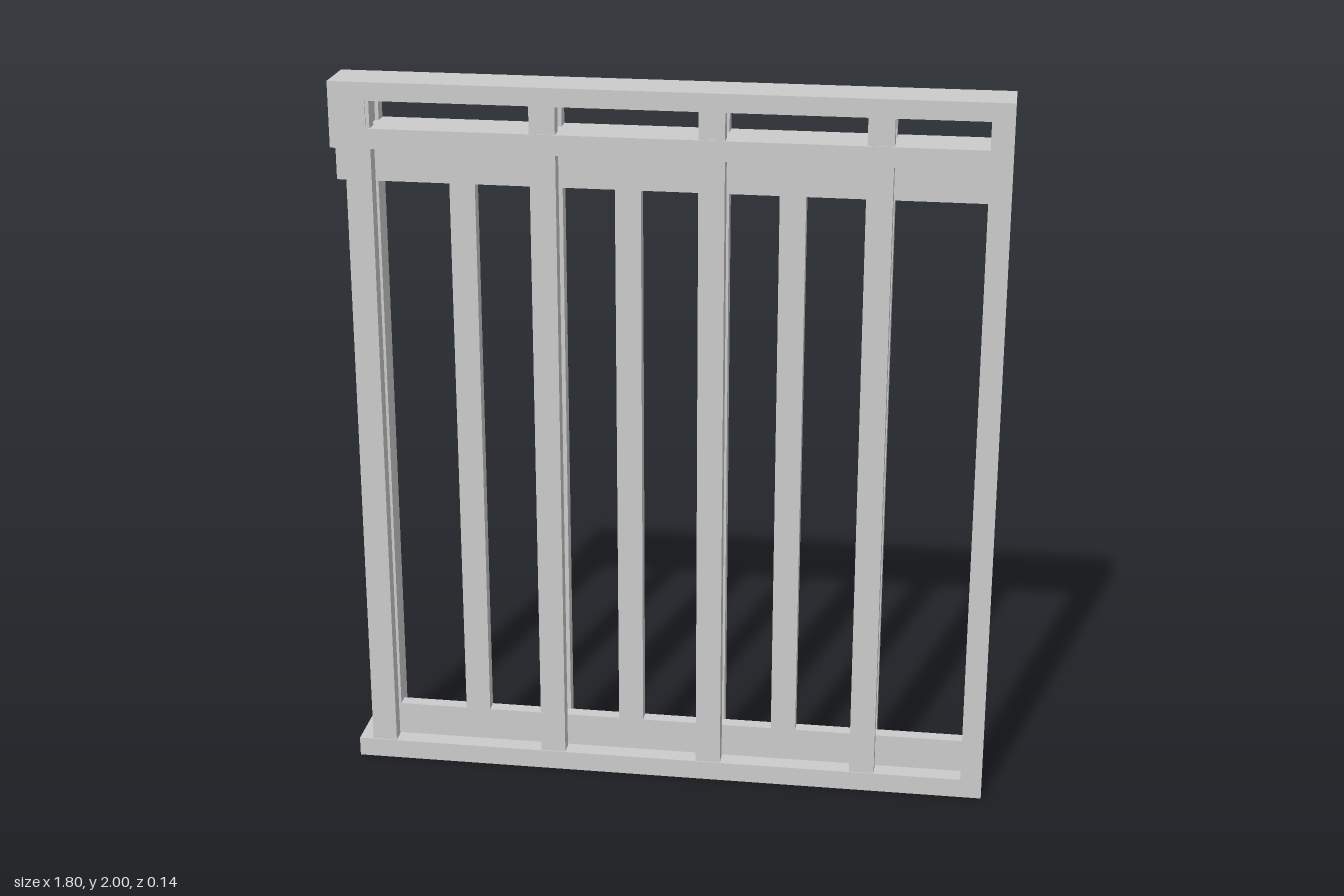
import * as THREE from 'three';

const material = new THREE.MeshStandardMaterial({ color: 0xcccccc, flatShading: true });

const toPath = (Type, pts) => {
  const path = new Type();
  path.setFromPoints(pts.map(([x, y]) => new THREE.Vector2(x, y)));
  path.closePath();
  return path;
};
const rect = (x0, x1, y0, y1) => toPath(THREE.Path, [[x0, y0], [x0, y1], [x1, y1], [x1, y0]]);

// Flat plate cut from an outline with holes, centred on z = 0
function plate(name, outline, holes, depth) {
  const shape = toPath(THREE.Shape, outline);
  shape.holes.push(...holes);
  const geometry = new THREE.ExtrudeGeometry(shape, { depth, bevelEnabled: false });
  geometry.translate(0, 0, -depth / 2);
  const mesh = new THREE.Mesh(geometry, material);
  mesh.name = name;
  return mesh;
}

export function createModel() {
  const model = new THREE.Group();
  model.name = 'slidingGate';

  // Outer frame: open on its left edge, with a long slot in the top beam
  model.add(plate('outerFrame', [
    [-0.905, 0], [0.9, 0], [0.9, 2], [-0.905, 2],
    [-0.905, 1.82], [0.84, 1.82], [0.84, 0.055], [-0.905, 0.055],
  ], [rect(-0.805, 0.84, 1.875, 1.95)], 0.143));

  // Sliding leaf: header, bottom rail and slats, with openings between the slats
  const slats = [-0.825, -0.56, -0.11, 0.33];
  const half = 0.035;
  const openings = slats.slice(0, 3).map((x, i) => rect(x + half, slats[i + 1] - half, 0.15, 1.72));
  model.add(plate('slidingLeaf', [
    [-0.86, 0.055], [0.84, 0.055], [0.84, 0.15], [0.365, 0.15], [0.365, 1.72],
    [0.84, 1.72], [0.84, 1.82], [-0.905, 1.82], [-0.905, 1.72], [-0.86, 1.72],
  ], openings, 0.038));

  // Fixed bars on both sides of the leaf, running up through the slot
  const barGeometry = new THREE.BoxGeometry(0.07, 1.895, 0.04);
  for (const [side, z] of [['front', 0.048], ['back', -0.048]]) {
    const bars = new THREE.Group();
    bars.name = side + 'Bars';
    for (const x of [-0.83, -0.33, 0.12, 0.56]) {
      const bar = new THREE.Mesh(barGeometry, material);
      bar.name = side + 'Bar';
      bar.position.set(x, 1.0025, z);
      bars.add(bar);
    }
    model.add(bars);
  }
  return model;
}
